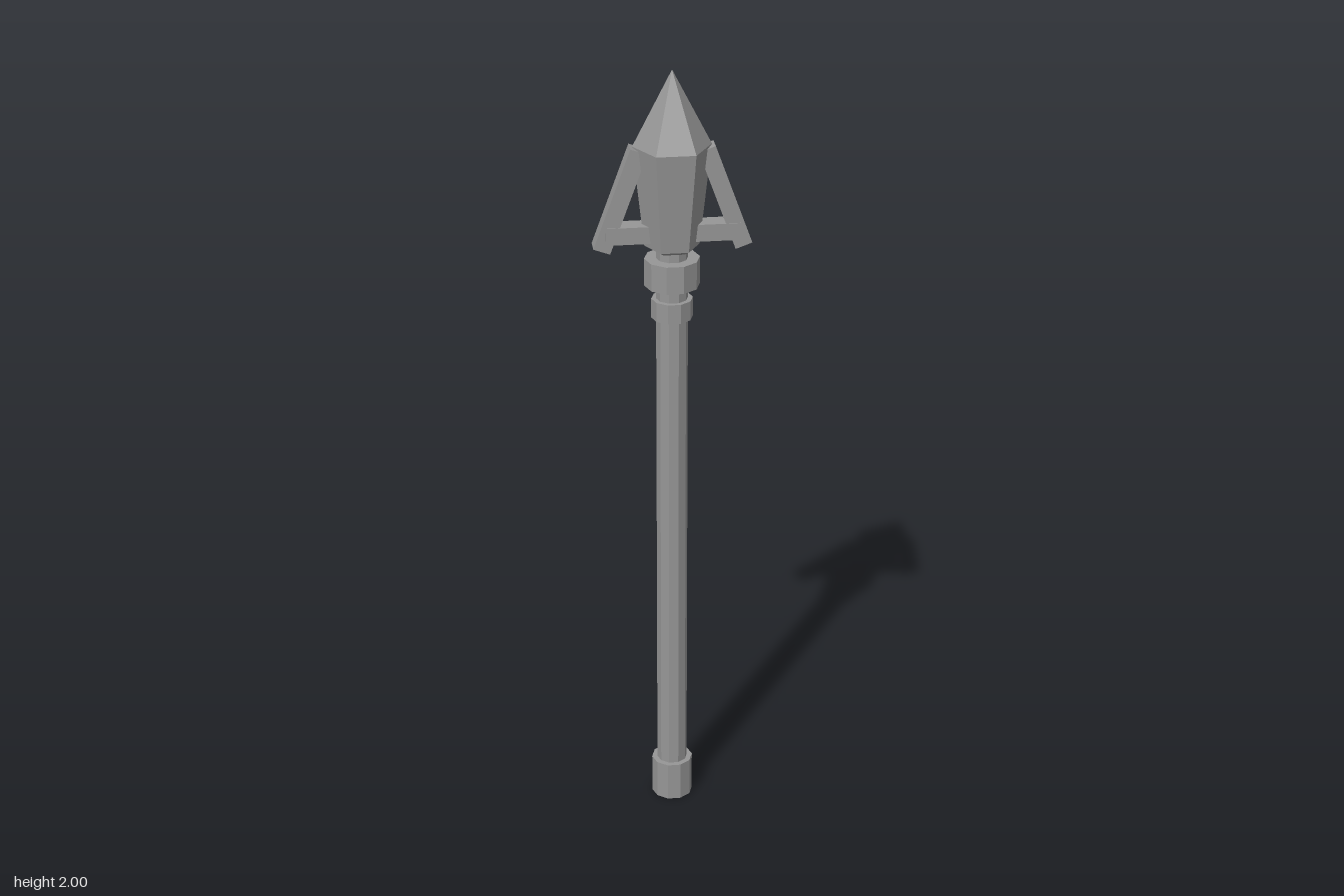
import * as THREE from 'three';

export function createModel() {
  const group = new THREE.Group();
  const metal = new THREE.MeshStandardMaterial({ color: 0x969696, flatShading: true });
  metal.name = 'grey metal';

  function add(name, geometry, x = 0, y = 0, parent = group) {
    const mesh = new THREE.Mesh(geometry, metal);
    mesh.name = name;
    mesh.position.set(x, y, 0);
    parent.add(mesh);
    return mesh;
  }

  // Faceted ring between two heights, with corners on the x axis
  function prism(name, sides, bottomRadius, topRadius, y0, y1, open = false) {
    const geometry = new THREE.CylinderGeometry(
      topRadius, bottomRadius, y1 - y0, sides, 1, open, Math.PI / 2);
    return add(name, geometry, 0, (y0 + y1) / 2);
  }

  // Pole and its collars
  prism('shaft', 10, 0.039, 0.039, 0.02, 1.57);
  prism('buttCap', 10, 0.053, 0.053, 0, 0.105);
  prism('lowerCollar', 10, 0.051, 0.051, 1.375, 1.425);
  prism('upperCollar', 10, 0.068, 0.068, 1.46, 1.53);

  // Six-sided spear head, from base bevel to point
  const profile = [[0, 1.553], [0.05, 1.553], [0.067, 1.563], [0.095, 1.815], [0, 2]];
  const headGeometry = new THREE.LatheGeometry(
    profile.map(([r, y]) => new THREE.Vector2(r, y)), 6, Math.PI / 2);
  add('spearHead', headGeometry);

  // Slanted barbs on both sides, each braced by a strut
  for (const side of [1, -1]) {
    const barb = new THREE.Group();
    barb.name = side > 0 ? 'leftBarb' : 'rightBarb';
    group.add(barb);
    const blade = add('barbBlade', new THREE.BoxGeometry(0.043, 0.264, 0.043), side * 0.1265, 1.684, barb);
    blade.rotation.z = side * 0.35;
    add('barbStrut', new THREE.BoxGeometry(0.133, 0.043, 0.048), side * 0.0965, 1.598, barb);
  }

  return group;
}
